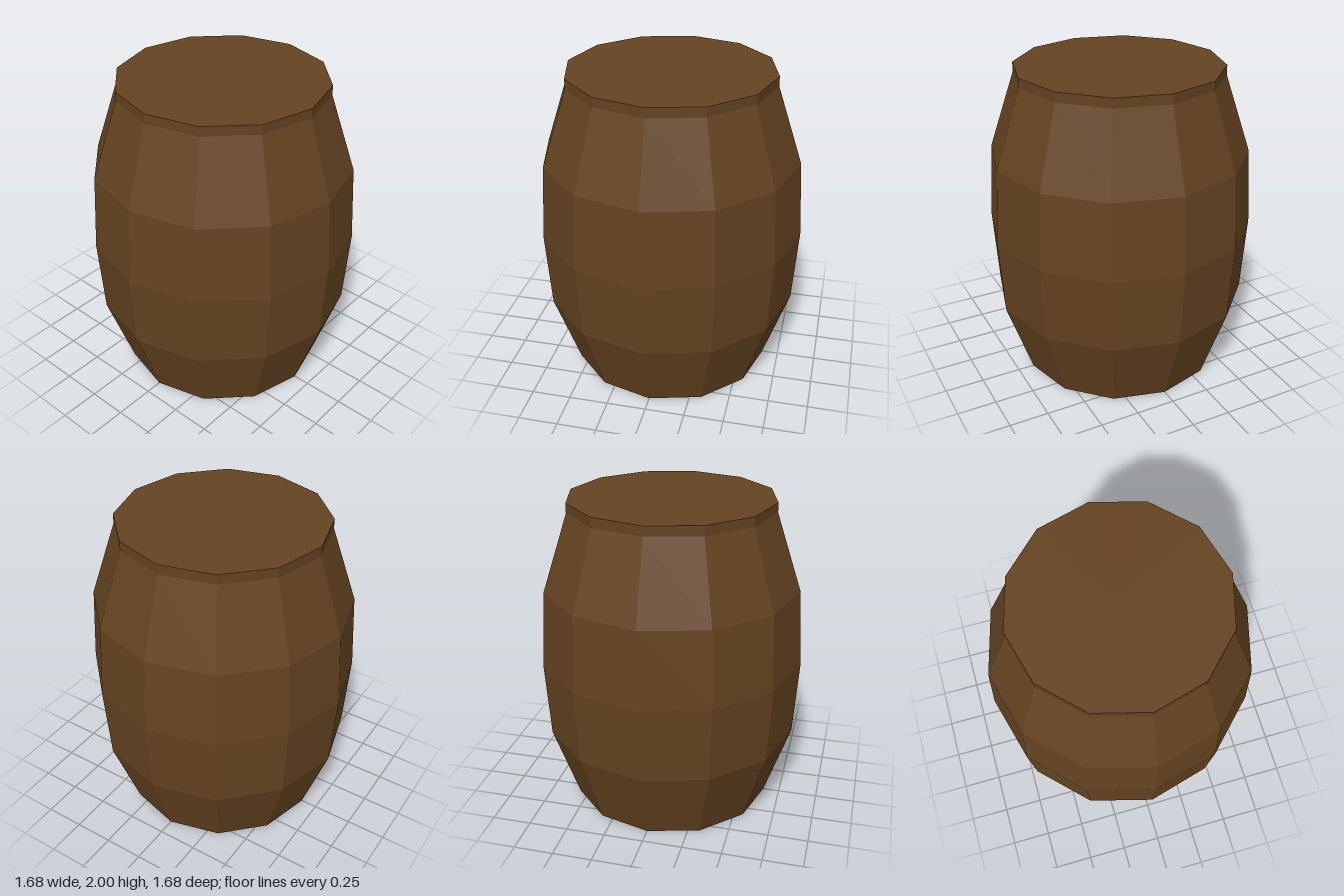
import * as THREE from 'three';

const SIDES = 12;

export function createModel() {
  const barrel = new THREE.Group();
  barrel.name = 'barrel';

  // Open at the bottom, so the inside of the wall is visible
  const wood = new THREE.MeshStandardMaterial({ color: 0x654321, flatShading: true, side: THREE.DoubleSide });
  wood.name = 'dark brown wood';

  // Bulging twelve-sided wall with a short straight collar: [radius, height]
  const profile = [
    [0.645, 0], [0.808, 0.485], [0.838, 0.97], [0.808, 1.455], [0.645, 1.94], [0.645, 2],
  ].map(([r, y]) => new THREE.Vector2(r, y));
  const wall = new THREE.Mesh(new THREE.LatheGeometry(profile, SIDES), wood);
  wall.name = 'wall';
  barrel.add(wall);

  // Flat lid level with the top of the collar
  const lid = new THREE.Mesh(new THREE.CircleGeometry(0.645, SIDES).rotateX(-Math.PI / 2), wood);
  lid.name = 'lid';
  lid.position.y = 2;
  barrel.add(lid);

  return barrel;
}
